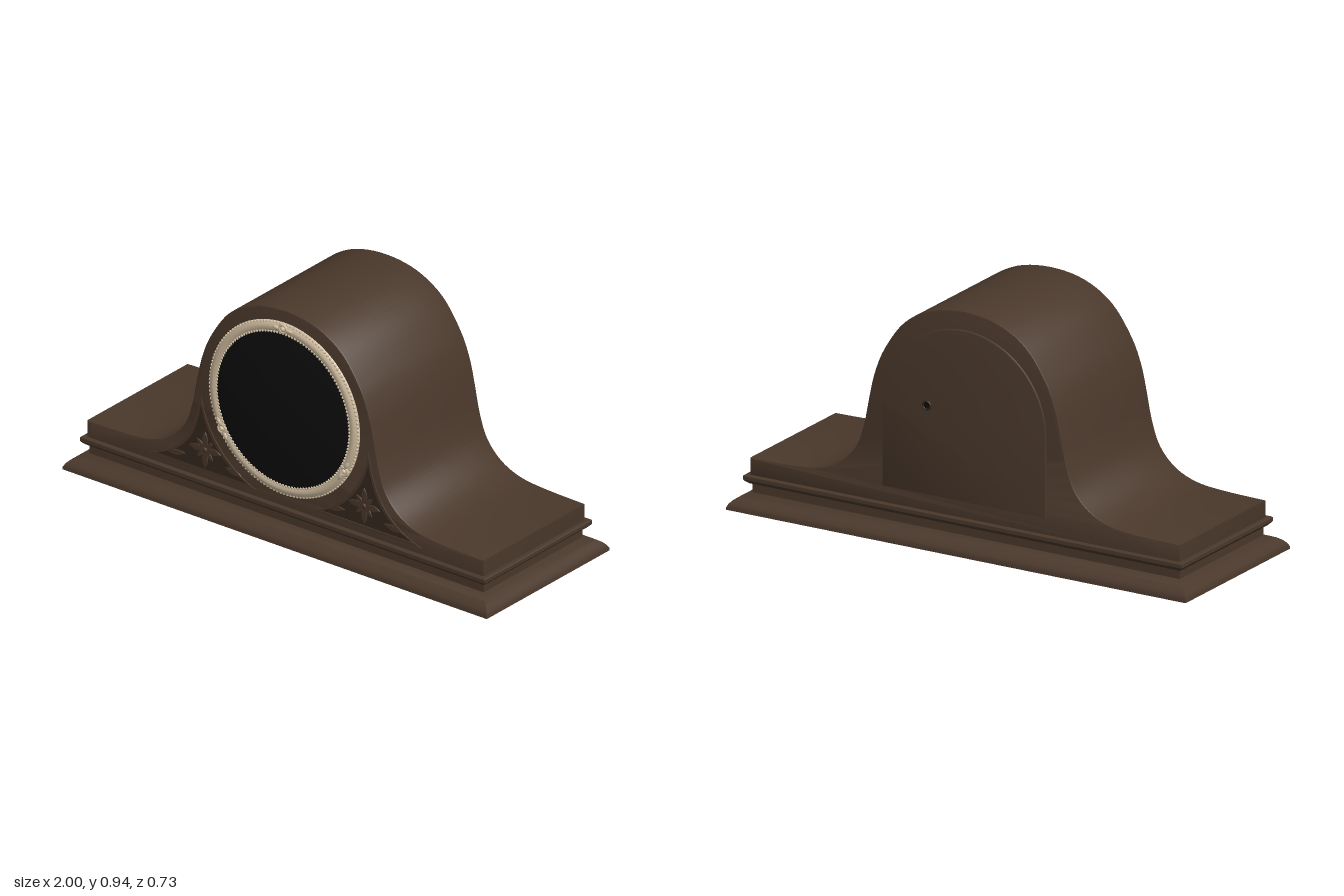
import * as THREE from 'three';
import { mergeGeometries, toCreasedNormals } from 'three/addons/utils/BufferGeometryUtils.js';

const mat = (name, color) => Object.assign(new THREE.MeshStandardMaterial({ color }), { name });
const V2 = (p) => new THREE.Vector2(p[0], p[1]);

export function createModel() {
  const walnut = mat('walnut', 0x4a382b);
  const darkWalnut = mat('dark walnut', 0x35271e);
  const ivory = mat('aged ivory', 0xd2bfa2);
  const black = mat('black glass', 0x0d0d0d);
  const root = new THREE.Group();
  root.name = 'mantelClock';
  const add = (name, geo, material, parent = root) => {
    const mesh = new THREE.Mesh(geo, material);
    mesh.name = name;
    parent.add(mesh);
    return mesh;
  };
  const extrude = (shape, depth, z, bevel = 0) => {
    const geo = new THREE.ExtrudeGeometry(shape, {
      depth: depth - 2 * bevel, curveSegments: 32, bevelEnabled: bevel > 0,
      bevelThickness: bevel, bevelSize: bevel, bevelOffset: -bevel, bevelSegments: 2,
    });
    geo.translate(0, 0, z + bevel);
    return toCreasedNormals(geo, 0.6);
  };

  // Moulded plinth: [half depth, height] swept round a mitred rectangle
  const moulding = [[0.365, 0], [0.365, 0.008], [0.357, 0.023], [0.345, 0.036], [0.328, 0.048], [0.31, 0.056],
    [0.294, 0.061], [0.294, 0.095], [0.303, 0.097], [0.314, 0.107], [0.319, 0.113], [0.319, 0.127], [0.315, 0.131], [0.29, 0.131]];
  const pos = [];
  const corner = ([d, y], k) => {
    const [sx, sz] = [[1, 1], [1, -1], [-1, -1], [-1, 1]][k % 4];
    return [sx * (d + 0.635), y, sz * d];
  };
  const quad = (a, b, c, d) => pos.push(...a, ...b, ...c, ...a, ...c, ...d);
  for (let i = 0; i < moulding.length - 1; i++) {
    for (let k = 0; k < 4; k++) {
      quad(corner(moulding[i], k), corner(moulding[i], k + 1), corner(moulding[i + 1], k + 1), corner(moulding[i + 1], k));
    }
  }
  const foot = moulding[0], lid = moulding[moulding.length - 1];
  quad(corner(foot, 3), corner(foot, 2), corner(foot, 1), corner(foot, 0));
  quad(corner(lid, 0), corner(lid, 1), corner(lid, 2), corner(lid, 3));
  const plinth = new THREE.BufferGeometry();
  plinth.setAttribute('position', new THREE.Float32BufferAttribute(pos, 3));
  add('plinth', toCreasedNormals(plinth, 0.6), walnut);

  // Humped case
  const half = [[0.935, 0.196], [0.75, 0.201], [0.63, 0.215], [0.54, 0.255], [0.475, 0.325], [0.44, 0.42],
    [0.417, 0.53], [0.393, 0.63], [0.35, 0.73], [0.265, 0.845], [0.145, 0.915]];
  const outline = [...half, [0, 0.937], ...half.map(([x, y]) => [-x, y]).reverse()];
  const caseShape = new THREE.Shape();
  caseShape.moveTo(-0.935, 0.12).lineTo(0.935, 0.12).lineTo(...half[0]);
  new THREE.SplineCurve(outline.map(V2)).getPoints(110).slice(1).forEach((p) => caseShape.lineTo(p.x, p.y));
  add('case', extrude(caseShape, 0.604, -0.302, 0.006), walnut);

  // Back door with keyhole collar
  const door = new THREE.Shape();
  door.moveTo(-0.355, 0.197).lineTo(0.355, 0.197).lineTo(0.355, 0.51).absarc(0, 0.51, 0.355, 0, Math.PI);
  add('backDoor', extrude(door, 0.02, -0.31, 0.003), walnut);
  const collar = add('keyholeCollar', new THREE.TorusGeometry(0.016, 0.004, 8, 20), darkWalnut);
  collar.position.set(0.16, 0.545, -0.31);
  const hole = add('keyhole', new THREE.CylinderGeometry(0.013, 0.013, 0.003, 16).rotateX(Math.PI / 2), black);
  hole.position.set(0.16, 0.545, -0.31);

  // Dial: domed glass inside a roped bezel
  const dial = new THREE.Group();
  dial.name = 'dial';
  dial.position.set(0, 0.535, 0.3);
  root.add(dial);
  const lathe = (points) => new THREE.LatheGeometry(points.map(V2), 80).rotateX(Math.PI / 2);
  const dome = [];
  for (let i = 0; i <= 10; i++) {
    const r = 0.312 * (1 - i / 10);
    dome.push([r, 0.014 + 0.026 * (1 - (r / 0.312) ** 2)]);
  }
  add('glass', lathe(dome), black, dial);
  const bezel = [[0.353, 0], [0.353, 0.005], [0.347, 0.012], [0.336, 0.017], [0.328, 0.018], [0.318, 0.016], [0.308, 0.011], [0.306, 0]];
  add('bezel', lathe(bezel), ivory, dial);
  const beads = (r, z, n, s) => Array.from({ length: n }, (_, i) => {
    const a = (i / n) * Math.PI * 2;
    return new THREE.SphereGeometry(s, 6, 4).translate(r * Math.cos(a), r * Math.sin(a), z);
  });
  add('bezelBeading', mergeGeometries([...beads(0.312, 0.013, 140, 0.006), ...beads(0.349, 0.008, 140, 0.006)]), ivory, dial);
  // Three scrolled bosses on the bezel
  for (const a of [Math.PI / 2, Math.PI * 7 / 6, Math.PI * 11 / 6]) {
    const boss = new THREE.Group();
    boss.name = 'bezelBoss';
    boss.position.set(0.332 * Math.cos(a), 0.332 * Math.sin(a), 0.014);
    boss.rotation.z = a - Math.PI / 2;
    dial.add(boss);
    add('bossRing', new THREE.TorusGeometry(0.016, 0.006, 8, 20), ivory, boss);
    add('bossBead', new THREE.SphereGeometry(0.011, 12, 8), ivory, boss);
    for (const s of [-1, 1]) {
      add('bossLeaf', new THREE.SphereGeometry(0.012, 10, 6).scale(1.7, 0.7, 0.7), ivory, boss).position.set(s * 0.03, -0.002, 0);
    }
  }

  // Carved spandrels: outline between the case curve and the bezel
  const outer = new THREE.SplineCurve([[0.645, 0.157], [0.545, 0.2], [0.465, 0.275], [0.42, 0.365], [0.392, 0.475]].map(V2)).getPoints(24);
  const inner = Array.from({ length: 25 }, (_, i) => {
    const a = THREE.MathUtils.lerp(-0.17, -1.21, i / 24);
    return new THREE.Vector2(0.4 * Math.cos(a), 0.535 + 0.4 * Math.sin(a));
  });
  const edge = [new THREE.Vector2(0.14, 0.157), ...outer, ...inner];
  const centre = new THREE.Vector2(0.385, 0.24);
  const inset = edge.map((p) => p.clone().lerp(centre, 0.14));
  const petal = (len, wid) => {
    const s = new THREE.Shape();
    s.moveTo(0, 0).quadraticCurveTo(wid, len * 0.55, 0, len).quadraticCurveTo(-wid, len * 0.55, 0, 0);
    return new THREE.ExtrudeGeometry(s, { depth: 0.001, bevelThickness: 0.002, bevelSize: 0.002, bevelSegments: 1, curveSegments: 6 });
  };
  for (const side of [1, -1]) {
    const flip = (pts) => pts.map((p) => new THREE.Vector2(p.x * side, p.y));
    const spandrel = new THREE.Group();
    spandrel.name = side > 0 ? 'leftSpandrel' : 'rightSpandrel';
    root.add(spandrel);
    const frame = new THREE.Shape(flip(edge));
    frame.holes.push(new THREE.Path(flip(inset)));
    add('spandrelFrame', extrude(frame, 0.008, 0.299), walnut, spandrel);
    add('spandrelGround', extrude(new THREE.Shape(flip(inset)), 0.004, 0.299), darkWalnut, spandrel);
    // Flower with eight petals and a centre bead
    const flower = new THREE.Group();
    flower.name = 'carvedFlower';
    flower.position.set(side * 0.375, 0.25, 0.304);
    spandrel.add(flower);
    for (let i = 0; i < 8; i++) {
      const long = i % 2 === 0;
      add('petal', petal(long ? 0.072 : 0.05, long ? 0.024 : 0.016), walnut, flower).rotation.z = (i * Math.PI) / 4;
    }
    add('flowerBead', new THREE.SphereGeometry(0.011, 12, 8).scale(1, 1, 0.6), walnut, flower).position.z = 0.002;
    // Leaves running into the two lower corners
    for (const [x, angle] of [[0.47, -1.75], [0.28, 1.75]]) {
      const leaf = add('carvedLeaf', petal(0.075, 0.02), walnut, spandrel);
      leaf.position.set(side * x, 0.205, 0.303);
      leaf.rotation.z = side * angle;
    }
  }
  return root;
}
